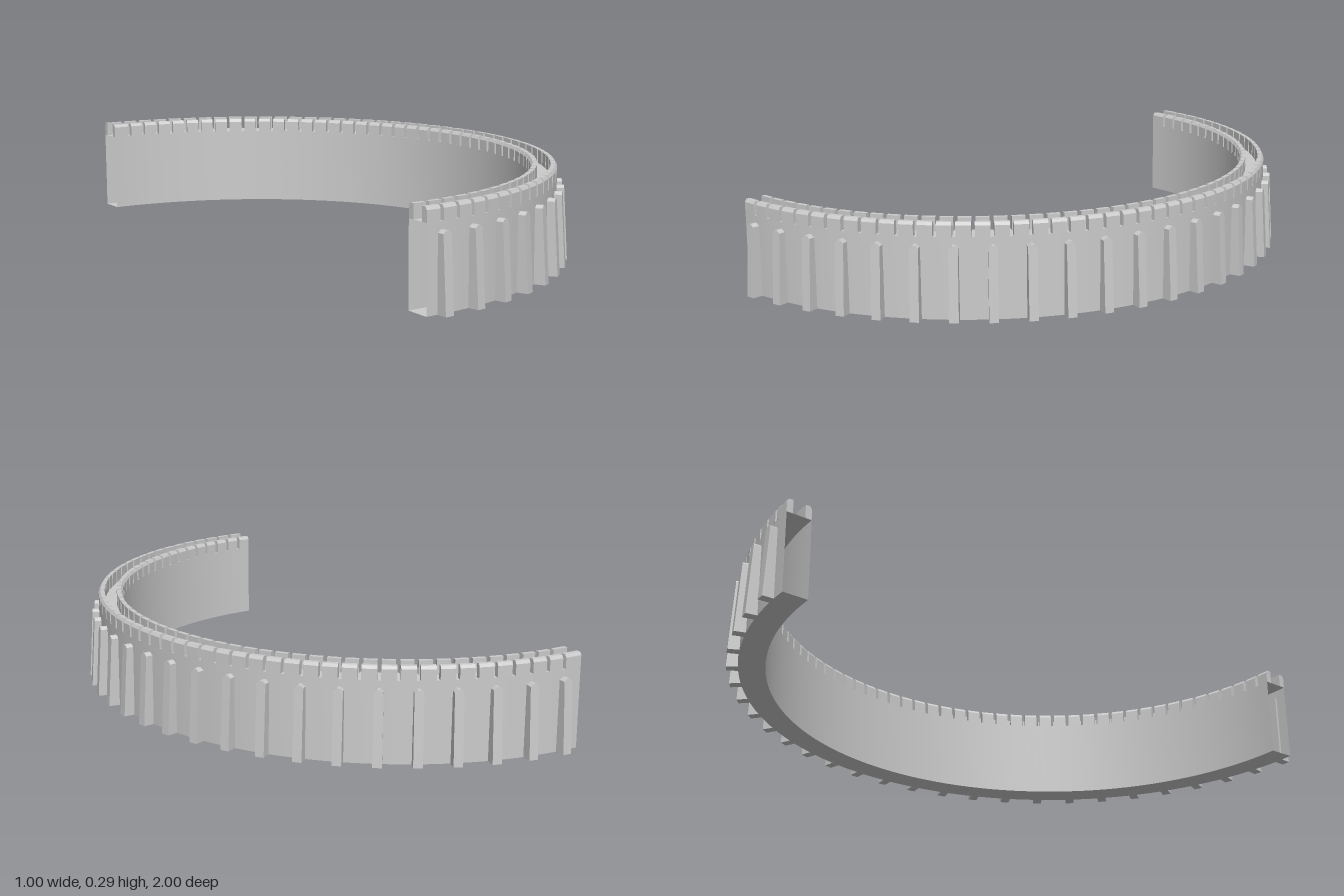
import * as THREE from 'three';
import { mergeGeometries, toCreasedNormals } from 'three/addons/utils/BufferGeometryUtils.js';

const OUTER = 0.965, INNER = 0.885;      // wall radii
const WALK = 0.25, TOP = 0.293;          // walkway and parapet heights
const STEP = Math.PI / 54, FIRST = 0.0525, SLOTS = 53, SLOT_WIDTH = 0.011;

const shapeOf = (points) => new THREE.Shape(points.map(([x, y]) => new THREE.Vector2(x, y)));

// Hollow half-ring wall: floor, outer face, walkway, inner face
function wallGeometry() {
  const profile = [[INNER, 0], [OUTER, 0], [OUTER, WALK], [INNER, WALK], [INNER, 0]]
    .map(([r, y]) => new THREE.Vector2(r, y));
  return toCreasedNormals(new THREE.LatheGeometry(profile, 108, 0, Math.PI), 0.5);
}

// Ring of short parapet blocks between the slots; the visible face is bevelled
function parapetGeometry(face, back) {
  const bevel = Math.sign(back - face) * 0.006;
  const profile = shapeOf([[face, WALK], [face, 0.284], [face + bevel, TOP], [back, TOP], [back, WALK]]);
  const blocks = [];
  for (let i = 0; i <= SLOTS; i++) {
    const gap = SLOT_WIDTH / 2 / face;
    const start = i === 0 ? 0 : FIRST + (i - 1) * STEP + gap;
    const end = i === SLOTS ? Math.PI : FIRST + i * STEP - gap;
    const length = (end - start) * face;
    const block = new THREE.ExtrudeGeometry(profile, { depth: length, bevelEnabled: false });
    block.translate(0, 0, -length / 2);
    block.rotateY((start + end) / 2 - Math.PI / 2);
    blocks.push(block);
  }
  return mergeGeometries(blocks);
}

// Gabled buttress whose outer face leans inwards towards the top
function buttressGeometry() {
  const w = 0.014, ridge = 0.228;
  const front = shapeOf([[-w, 0], [w, 0], [w, 0.22], [0.004, ridge], [-0.004, ridge], [-w, 0.22]]);
  const geometry = new THREE.ExtrudeGeometry(front, { depth: 1, bevelEnabled: false });
  const p = geometry.attributes.position;
  for (let i = 0; i < p.count; i++) {
    p.setZ(i, p.getZ(i) < 0.5 ? OUTER - 0.008 : 1 - 0.013 * p.getY(i) / ridge);
  }
  geometry.computeVertexNormals();
  return geometry;
}

export function createModel() {
  const model = new THREE.Group();
  model.name = 'curvedWall';
  const grey = new THREE.MeshStandardMaterial({ color: 0xcccccc, side: THREE.DoubleSide });
  const add = (name, geometry) => {
    const mesh = new THREE.Mesh(geometry, grey);
    mesh.name = name;
    mesh.position.x = -0.5;
    model.add(mesh);
  };

  add('wall', wallGeometry());
  add('outerParapet', parapetGeometry(OUTER, OUTER - 0.02));
  add('innerParapet', parapetGeometry(INNER, INNER + 0.02));

  // One buttress under every second slot
  const buttresses = [];
  for (let i = 0; i < SLOTS; i += 2) {
    buttresses.push(buttressGeometry().rotateY(FIRST + i * STEP));
  }
  add('buttresses', mergeGeometries(buttresses));
  return model;
}
